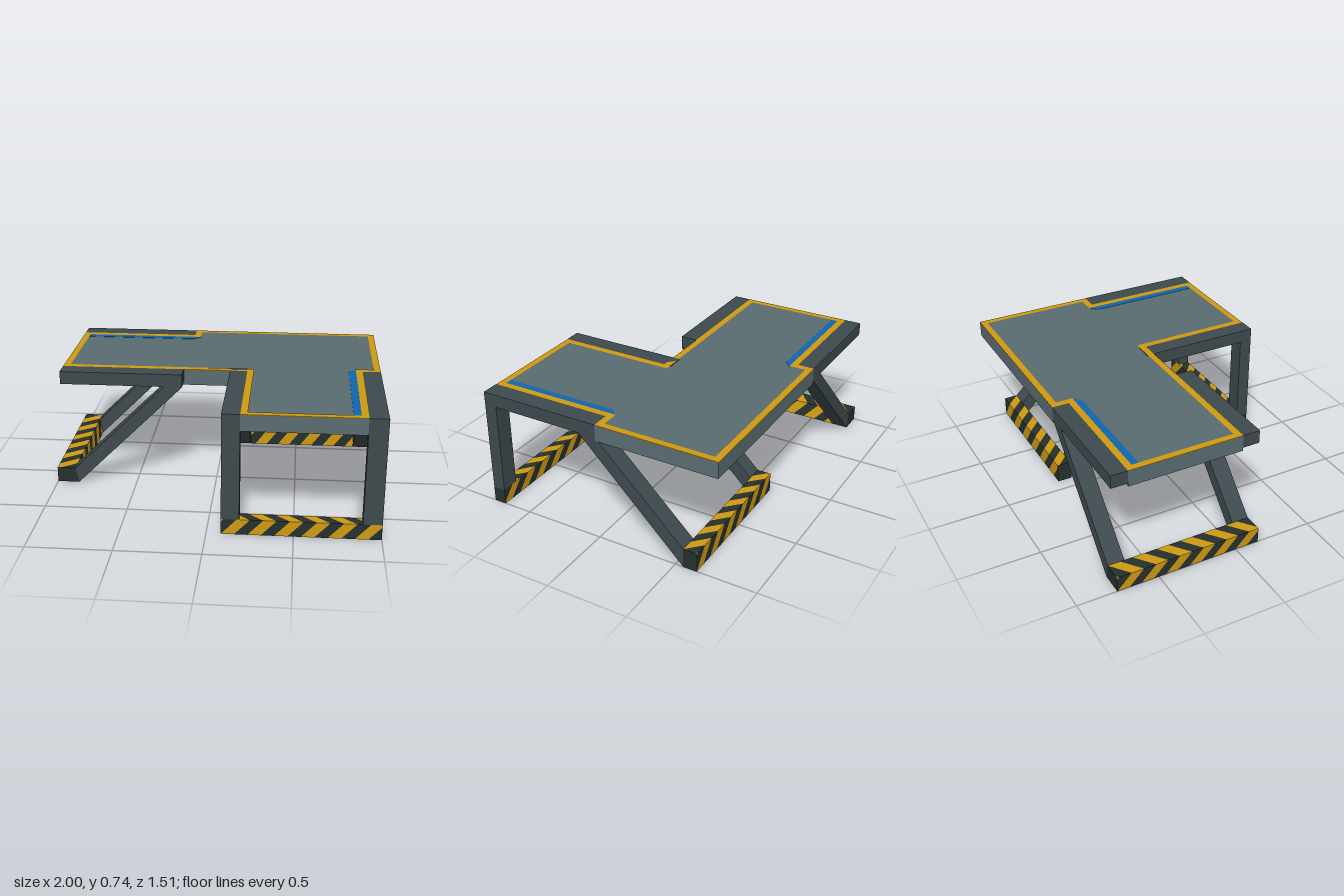
import * as THREE from 'three';

const mat = (name, color, side = THREE.FrontSide) =>
  Object.assign(new THREE.MeshStandardMaterial({ color, side }), { name });

const toShape = (pts) => new THREE.Shape(pts.map(([x, y]) => new THREE.Vector2(x, y)));

// Prism with a profile in (x, y), running from z0 to z1
const prismZ = (pts, z0, z1) =>
  new THREE.ExtrudeGeometry(toShape(pts), { depth: z1 - z0, bevelEnabled: false }).translate(0, 0, z0);

// Prism with a profile in (z, y), running from x0 to x1
const prismX = (pts, x0, x1) =>
  new THREE.ExtrudeGeometry(toShape(pts), { depth: x1 - x0, bevelEnabled: false })
    .rotateY(-Math.PI / 2).translate(x1, 0, 0);

// Flat plate with an outline in (x, z), from y0 to y1
function plate(pts, y0, y1, hole) {
  const flip = (list) => list.map(([x, z]) => [x, -z]);
  const shape = toShape(flip(pts));
  if (hole) shape.holes.push(toShape(flip(hole)));
  return new THREE.ExtrudeGeometry(shape, { depth: y1 - y0, bevelEnabled: false })
    .rotateX(-Math.PI / 2).translate(0, y0, 0);
}

// Keep the part of a polygon with sign * s below sign * limit; points are [s, y, out]
function clip(poly, limit, sign) {
  const out = [];
  poly.forEach((p, i) => {
    const q = poly[(i + 1) % poly.length];
    const a = sign * (limit - p[0]), b = sign * (limit - q[0]);
    if (a >= 0) out.push(p);
    if (a * b < 0) out.push(p.map((v, k) => v + (q[k] - v) * (a / (a - b))));
  });
  return out;
}

// Foot bar with chevron stripes as faces; corners are [out, y]:
// outer bottom, outer top, inner top, inner bottom
function stripedBar(corners, start, length) {
  const sets = [[], []]; // dark, yellow
  const add = (set, poly) => {
    for (let i = 1; i < poly.length - 1; i++)
      for (const [s, y, o] of [poly[0], poly[i], poly[i + 1]]) set.push(s + start, y, o);
  };
  const band = length / 12, slant = 0.09;
  corners.forEach((p, i) => {
    const q = corners[(i + 1) % 4];
    const sp = i % 2 ? slant : 0, sq = slant - sp;
    for (let j = -2; j < 12; j++) {
      const s0 = j * band, s1 = s0 + band;
      const quad = [[s0 + sp, p[1], p[0]], [s1 + sp, p[1], p[0]], [s1 + sq, q[1], q[0]], [s0 + sq, q[1], q[0]]];
      add(sets[j % 2 ? 0 : 1], clip(clip(quad, 0, -1), length, 1));
    }
  });
  // end caps
  const cap = (s) => corners.map(([o, y]) => [s, y, o]);
  add(sets[0], cap(0));
  add(sets[0], cap(length).reverse());
  const g = new THREE.BufferGeometry();
  g.setAttribute('position', new THREE.Float32BufferAttribute(sets.flat(), 3));
  g.addGroup(0, sets[0].length / 3, 0);
  g.addGroup(sets[0].length / 3, sets[1].length / 3, 1);
  g.computeVertexNormals();
  return g;
}

export function createModel() {
  const root = new THREE.Group();
  root.name = 'platform';
  const deckGrey = mat('deckGrey', 0x5a6c72);
  const frameGrey = mat('frameGrey', 0x3e4a4e);
  const footDark = mat('footDark', 0x25302f);
  const yellow = mat('warningYellow', 0xcf9a10);
  const blue = mat('markerBlue', 0x1166ae);

  const add = (name, geometry, material, parent = root) => {
    const m = new THREE.Mesh(geometry, material);
    m.name = name;
    parent.add(m);
    return m;
  };

  // Deck with its painted border and side markers
  const outline = [[-0.95, -0.655], [-0.2, -0.655], [-0.2, -0.757], [1, -0.757], [1, 0],
    [0.89, 0], [0.89, 0.755], [0.19, 0.755], [0.19, 0.045], [-0.95, 0.045]];
  const inner = [[-0.91, -0.615], [-0.16, -0.615], [-0.16, -0.717], [0.96, -0.717], [0.96, -0.04],
    [0.85, -0.04], [0.85, 0.715], [0.23, 0.715], [0.23, 0.005], [-0.91, 0.005]];
  add('deck', plate(outline, 0.64, 0.737), deckGrey);
  add('deckBorder', plate(outline, 0.737, 0.74, inner), yellow);
  add('rearMarker', plate([[-0.91, -0.615], [-0.16, -0.615], [-0.205, -0.573], [-0.91, -0.573]], 0.737, 0.739), blue);
  add('sideMarker', plate([[0.85, -0.04], [0.85, 0.715], [0.806, 0.715], [0.806, 0.005]], 0.737, 0.739), blue);

  // Side arm frame: rails and sloping legs
  const sideFrame = new THREE.Group();
  sideFrame.name = 'sideFrame';
  root.add(sideFrame);
  for (const [z0, z1] of [[-0.757, -0.655], [0.045, 0.15]]) {
    add('sideRail', prismZ([[-0.95, 0.66], [-0.2, 0.66], [-0.2, 0.74], [-0.95, 0.74]], z0, z1), frameGrey, sideFrame);
    add('sideLeg', prismZ([[-0.865, 0], [-0.2, 0.66], [-0.31, 0.66], [-0.885, 0.095]], z0, z1), frameGrey, sideFrame);
  }
  add('sideFoot', stripedBar([[1, 0], [1, 0.095], [0.885, 0.095], [0.865, 0]], -0.757, 0.907),
    [footDark, yellow], sideFrame).rotation.y = -Math.PI / 2;

  // Front arm frame: rails, upright front legs and sloping rear legs
  const frontFrame = new THREE.Group();
  frontFrame.name = 'frontFrame';
  root.add(frontFrame);
  for (const [x0, x1] of [[0.085, 0.19], [0.89, 1]]) {
    add('frontRail', prismX([[0, 0.66], [0.68, 0.66], [0.68, 0.74], [0, 0.74]], x0, x1), frameGrey, frontFrame);
    add('frontLeg', prismX([[0.68, 0.095], [0.757, 0.095], [0.757, 0.74], [0.68, 0.74]], x0, x1), frameGrey, frontFrame);
    add('rearLeg', prismX([[-0.55, 0], [0.11, 0.66], [0, 0.66], [-0.55, 0.12]], x0, x1), frameGrey, frontFrame);
  }
  add('frontFoot', stripedBar([[0.757, 0], [0.757, 0.095], [0.68, 0.095], [0.68, 0]], 0.085, 0.915),
    [footDark, yellow], frontFrame);
  add('rearFoot', stripedBar([[0.635, 0], [0.635, 0.12], [0.55, 0.12], [0.55, 0]], -1, 0.915),
    [footDark, yellow], frontFrame).rotation.y = Math.PI;

  return root;
}
